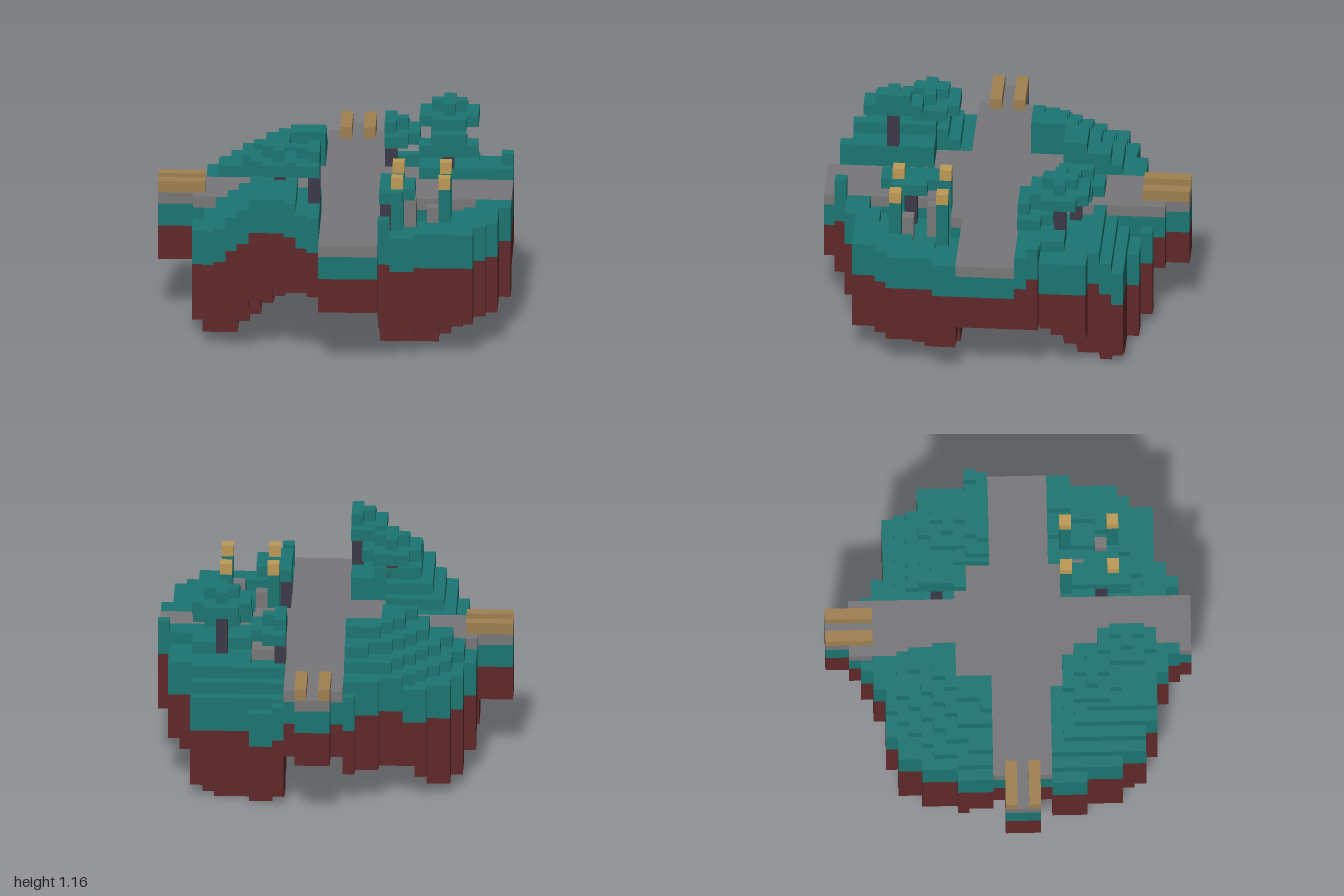
import * as THREE from 'three';
import { mergeGeometries } from 'three/addons/utils/BufferGeometryUtils.js';

const V = 2 / 31; // block size; 30 blocks in x, 31 in z

const mat = (name, color) => Object.assign(new THREE.MeshStandardMaterial({ color }), { name });

// Box in block units between two corners
function block(i0, i1, j0, j1, k0, k1) {
  const g = new THREE.BoxGeometry((i1 - i0) * V, (j1 - j0) * V, (k1 - k0) * V);
  g.translate(((i0 + i1) / 2 - 15) * V, ((j0 + j1) / 2) * V, ((k0 + k1) / 2 - 15.5) * V);
  return g;
}

const clamp = THREE.MathUtils.clamp;
const inArm = (n) => n >= 14 && n <= 18;

// First and last ground rows for the columns from left to right
const backEdge = [11, 8, 6, 6, 5, 5, 5, 5, 4, 4, 3, 2, 2, 2, 2, 2, 3, 4, 4, 5, 5, 5, 5, 5, 8, 8, 12];
const frontEdge = [22, 25, 27, 27, 28, 28, 28, 28, 29, 29, 30, 31, 31, 31, 31, 31, 30, 29, 29, 28, 28, 28, 28, 28, 26, 25, 21];

// Lumps hanging under each quarter: x, z, lowest level, highest underside level
const lumps = { FR: [0.42, 0.38, 0, 3], BR: [0.48, -0.6, 0, 5], BL: [-0.69, -0.5, 1, 3], FL: [-0.69, 0.45, 1, 6] };
const frontLeftTops = [9, 10, 11, 12, 13, 14, 14, 14, 14, 13, 13];
const backRightTops = [9, 8, 9, 10, 11];

// Ground level of each quarter
const tops = {
  // Stepped hill
  BL: (i, k, r) => clamp(Math.round(14 - (r - 0.4) * 10), 9, 14),
  // Ridge falling towards the side path
  FL: (i, k) => Math.min(frontLeftTops[i - 3], k - 8),
  // Sunken yard inside a rim
  FR: (i, k, r) => (r < 0.72 ? 9 : r < 0.82 ? 10 : 11),
  // Grove with a bank on its outer side
  BR: (i, k) => {
    if (k < 8) return backRightTops[k - 3];
    if (k <= 10) return i < 22 ? 10 : k === 10 && (i === 25 || i === 26) ? 12 : 11;
    if (i >= 27 && k === 11) return 11;
    return i === 29 && k === 12 ? 13 : 12;
  },
};

// Height, soil level, underside and surface of one ground column, or null outside the island
function column(i, k) {
  const path = { top: 11, soilTop: 8, bottom: 5, paved: true };
  if (i < 3) return k >= 15 && k <= 17 ? path : null;
  if (k < 2) return i >= 15 && i <= 17 ? path : null;
  if (k < backEdge[i - 3] || k >= frontEdge[i - 3]) return null;
  if (inArm(i) || inArm(k)) return path;

  const x = (i + 0.5 - 15) * V, z = (k + 0.5 - 15.5) * V;
  const quarter = (k < 14 ? 'B' : 'F') + (i < 14 ? 'L' : 'R');
  const [lx, lz, low, high] = lumps[quarter];
  const d = Math.hypot(x - lx, z - lz);
  let bottom = clamp(low + Math.floor((d - 0.13) / 0.07), low, high);
  if (k === 29) bottom = Math.max(bottom, 4);

  // Widened crossing
  const lastRow = quarter === 'FR' ? 19 : 21;
  if (i >= 11 && i <= 21 && k >= 11 && k <= lastRow) return { ...path, bottom };

  // Raised corner beside the front path
  if (i === 19 && k === 29) return { top: 13, soilTop: 9, bottom, paved: false };
  const top = tops[quarter](i, k, Math.hypot(x, z));
  return { top, soilTop: top - 3, bottom, paved: false };
}

// Umbrella crown: wide layer without corners, with or without a small cross above
function crown(ci, ck, level, layers) {
  const parts = [];
  for (const [r, j] of [[2, level], [1, level + 1]].slice(0, layers))
    for (let a = -r; a <= r; a++)
      for (let b = -r; b <= r; b++) {
        const i = ci + a, k = ck + b;
        if ((Math.abs(a) === r && Math.abs(b) === r) || inArm(i) || inArm(k)) continue;
        parts.push(block(i, i + 1, j, j + 1, k, k + 1));
      }
  return parts;
}

export function createModel() {
  const model = new THREE.Group();
  model.name = 'floatingIsland';
  const grass = mat('teal grass', 0x1b7571);
  const soil = mat('red soil', 0x60282a);
  const stone = mat('grey stone', 0x777779);
  const plank = mat('brown plank', 0x9f8050);
  const lamp = mat('golden wood', 0xbd9a55);
  const bark = mat('dark bark', 0x3c3947);

  const add = (name, parts, material, parent = model) => {
    const mesh = new THREE.Mesh(mergeGeometries(parts), material);
    mesh.name = name;
    parent.add(mesh);
  };

  // Ground: equal neighbouring columns are joined into one run along z
  const turf = [], earth = [], paving = [];
  for (let i = 0; i < 30; i++) {
    for (let k = 0; k < 31;) {
      const c = column(i, k);
      const key = JSON.stringify(c);
      let end = k + 1;
      while (end < 31 && JSON.stringify(column(i, end)) === key) end++;
      if (c) {
        const grassTop = c.paved ? c.top - 1 : c.top;
        earth.push(block(i, i + 1, c.bottom, c.soilTop, k, end));
        turf.push(block(i, i + 1, c.soilTop, grassTop, k, end));
        if (c.paved) paving.push(block(i, i + 1, grassTop, c.top, k, end));
      }
      k = end;
    }
  }
  add('soil', earth, soil);
  add('grass', turf, grass);
  add('path', paving, stone);

  // Bridge rails at the two path ends
  const rails = [];
  for (const n of [15, 17]) {
    rails.push(block(0, 4, 11, 12, n, n + 1));
    rails.push(block(n, n + 1, 11, 12, 0, 4));
  }
  add('bridgeRails', rails, plank);

  // Trees: column, row, ground level, crown level, crown layers
  const trees = [
    [13, 25, 13, 16, 2], [10, 22, 13, 15, 2], [24, 10, 11, 15, 2],
    [24, 13, 12, 13, 2], [19, 9, 10, 13, 2], [19, 23, 9, 13, 1],
  ];
  for (const [i, k, ground, level, layers] of trees) {
    const tree = new THREE.Group();
    tree.name = 'tree';
    add('trunk', [block(i, i + 1, ground, level, k, k + 1)], bark, tree);
    add('crown', crown(i, k, level, layers), grass, tree);
    model.add(tree);
  }

  // Four posts with wooden caps
  for (const i of [20, 24])
    for (const k of [20, 24]) {
      const post = new THREE.Group();
      post.name = 'post';
      add('shaft', [block(i, i + 1, 9, 14, k, k + 1)], grass, post);
      add('cap', [block(i, i + 1, 14, 15, k, k + 1)], lamp, post);
      model.add(post);
    }

  // Standing stones between the posts
  add('stones', [block(21, 22, 9, 12, 21, 22), block(23, 24, 9, 12, 23, 24)], stone);
  return model;
}
